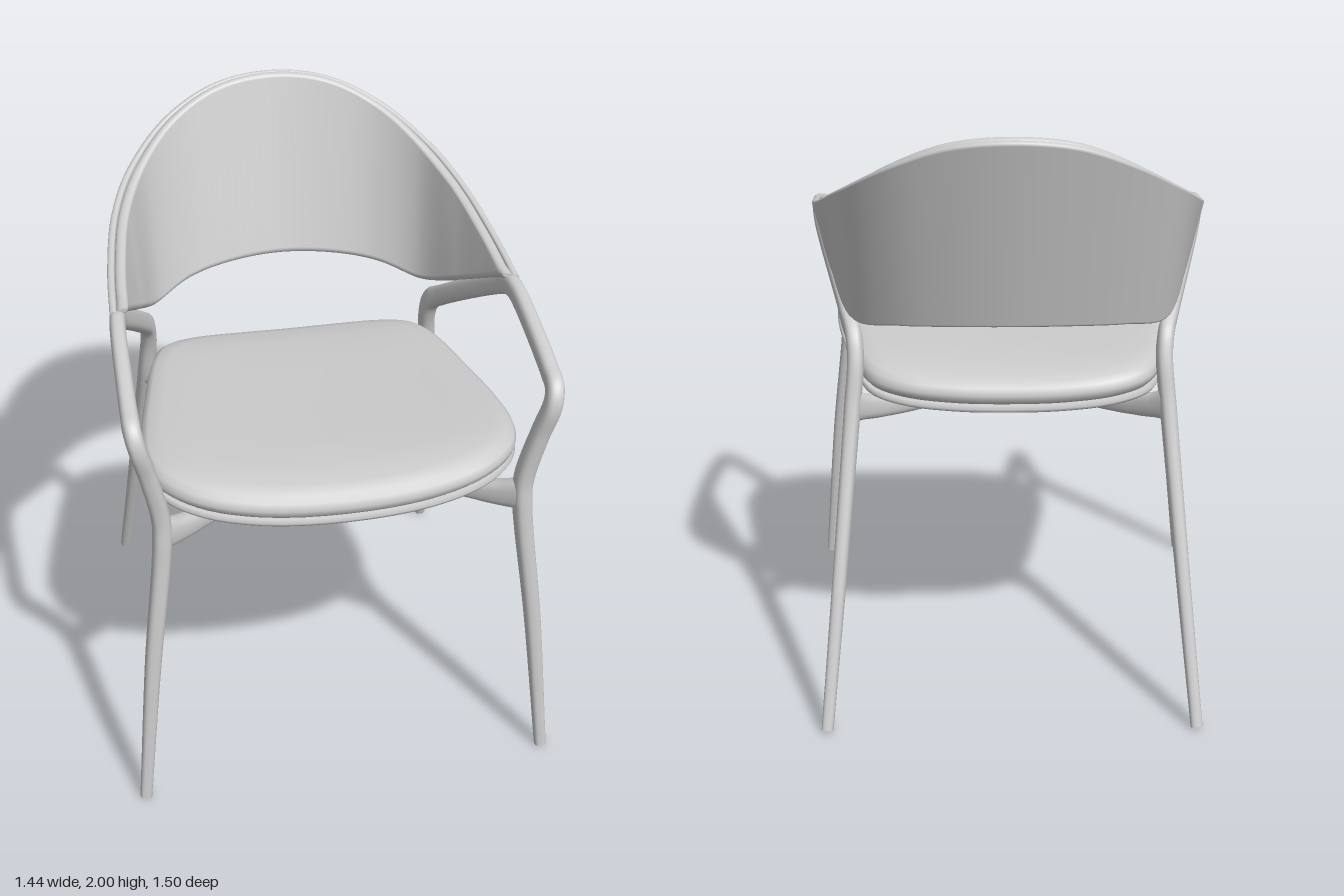
import * as THREE from 'three';

const V = (x, y, z) => new THREE.Vector3(x, y, z);
const material = new THREE.MeshStandardMaterial({ color: 0xcccccc });

// Closed solid through a list of rings (equal point counts), capped at both ends
function loft(rings) {
  const n = rings[0].length, pos = [], idx = [];
  rings.forEach(r => r.forEach(p => pos.push(p.x, p.y, p.z)));
  for (let i = 0; i < rings.length - 1; i++) {
    for (let j = 0; j < n; j++) {
      const k = (j + 1) % n;
      const a = i * n + j, b = i * n + k, c = a + n, d = b + n;
      idx.push(a, b, d, a, d, c);
    }
  }
  [rings[0], rings[rings.length - 1]].forEach((ring, end) => {
    const start = pos.length / 3, mid = V(0, 0, 0);
    ring.forEach(p => { pos.push(p.x, p.y, p.z); mid.addScaledVector(p, 1 / n); });
    pos.push(mid.x, mid.y, mid.z);
    for (let j = 0; j < n; j++) {
      const a = start + j, b = start + (j + 1) % n;
      idx.push(...(end ? [a, b] : [b, a]), start + n);
    }
  });
  // Turn the faces outward if the signed volume is negative
  let volume = 0;
  const at = i => V(pos[3 * i], pos[3 * i + 1] - 1, pos[3 * i + 2]);
  for (let i = 0; i < idx.length; i += 3) {
    volume += at(idx[i]).dot(at(idx[i + 1]).cross(at(idx[i + 2])));
  }
  if (volume < 0) idx.reverse();
  const g = new THREE.BufferGeometry();
  g.setAttribute('position', new THREE.Float32BufferAttribute(pos, 3));
  g.setIndex(idx);
  g.computeVertexNormals();
  return g;
}

// Bar with a soft-cornered section along points [x, y, z, half width along ref, other half width]
function bar(points, ref, mirror) {
  const curve = new THREE.CatmullRomCurve3(points.map(p => V(p[0] * mirror, p[1], p[2])));
  const steps = (points.length - 1) * 8, rings = [];
  for (let i = 0; i <= steps; i++) {
    const t = i / steps, f = t * (points.length - 1);
    const k = Math.min(Math.floor(f), points.length - 2);
    const w = THREE.MathUtils.lerp(points[k][3], points[k + 1][3], f - k);
    const h = THREE.MathUtils.lerp(points[k][4], points[k + 1][4], f - k);
    const p = curve.getPoint(t), tan = curve.getTangent(t);
    const side = ref.clone().addScaledVector(tan, -ref.dot(tan)).normalize();
    const up = tan.clone().cross(side);
    const soft = v => Math.sign(v) * Math.abs(v) ** 0.75;
    rings.push(Array.from({ length: 20 }, (_, j) => {
      const a = j / 20 * Math.PI * 2;
      return p.clone().addScaledVector(side, w * soft(Math.cos(a))).addScaledVector(up, h * soft(Math.sin(a)));
    }));
  }
  return loft(rings);
}

// Seat layers: the seat outline scaled by each [scale, height] on a gently saddled surface
const half = [[0.3, 0.70], [0.48, 0.645], [0.58, 0.56], [0.62, 0.44], [0.613, 0.28], [0.57, 0.02],
  [0.515, -0.24], [0.46, -0.355], [0.36, -0.41], [0.2, -0.435]];
const outline = new THREE.CatmullRomCurve3([
  V(0, 0, 0.72), ...half.map(p => V(p[0], 0, p[1])),
  V(0, 0, -0.44), ...half.map(p => V(-p[0], 0, p[1])).reverse(),
], true).getPoints(96).slice(0, 96);

function seatLayer(profile) {
  return loft(profile.map(([s, h]) => outline.map(p => {
    const x = p.x * s, z = 0.15 + (p.z - 0.15) * s;
    const drop = 0.5 * Math.max(0, z - 0.5) ** 2 + 0.3 * Math.max(0, -0.2 - z) ** 2;
    return V(x, 1.105 + 0.1 * x * x + 0.03 * z - drop + h, z);
  })));
}

// Backrest edges from the centre to the tip on the arm, mirrored across x
const mirrored = pts => new THREE.CatmullRomCurve3([
  ...pts.slice(1).reverse().map(p => V(-p[0], p[1], p[2])), ...pts.map(p => V(...p))]);
const topEdge = mirrored([[0, 2.0, -0.735], [0.2, 1.977, -0.708], [0.38, 1.9, -0.63], [0.52, 1.8, -0.48],
  [0.6, 1.72, -0.3], [0.645, 1.65, -0.05], [0.665, 1.6, 0.19]]);
const lowEdge = mirrored([[0, 1.365, -0.558], [0.2, 1.358, -0.53], [0.36, 1.342, -0.465], [0.5, 1.32, -0.34],
  [0.58, 1.42, -0.12], [0.625, 1.505, 0.04], [0.66, 1.585, 0.19]]);

// Curved panel between the two edges, from offset o0 (outside) to o1 (inside), with round rims
function panel(o0, o1, inset) {
  const rings = [], steps = 96, r = (o1 - o0) / 2;
  for (let i = 0; i <= steps; i++) {
    const t = i / steps, top = topEdge.getPoint(t), low = lowEdge.getPoint(t);
    const rise = top.clone().sub(low), len = rise.length();
    const inward = topEdge.getTangent(t).add(lowEdge.getTangent(t)).cross(rise).normalize();
    const margin = Math.min((r + inset) / len, 0.45), ring = [];
    for (let e = 0; e < 2; e++) {
      for (let j = 0; j <= 8; j++) {
        const a = (e + j / 8) * Math.PI;
        const v = (e ? margin : 1 - margin) + Math.sin(a) * Math.min(r / len, margin);
        ring.push(low.clone().addScaledVector(rise, v)
          .addScaledVector(inward, (o0 + o1) / 2 + r * Math.cos(a)));
      }
    }
    rings.push(ring);
  }
  return loft(rings);
}

export function createModel() {
  const model = new THREE.Group();
  const add = (name, geometry) => {
    const mesh = new THREE.Mesh(geometry, material);
    mesh.name = name;
    model.add(mesh);
    return mesh;
  };

  // Front leg, armrest and rear leg as one continuous bar on each side
  const frame = [
    [0.70, 0.004, 0.73, 0.02, 0.02], [0.647, 0.55, 0.69, 0.027, 0.031], [0.594, 1.0, 0.652, 0.031, 0.039],
    [0.594, 1.1, 0.648, 0.031, 0.038], [0.63, 1.28, 0.668, 0.029, 0.035], [0.66, 1.4, 0.684, 0.029, 0.036],
    [0.669, 1.445, 0.66, 0.029, 0.038], [0.67, 1.468, 0.6, 0.028, 0.036], [0.662, 1.557, 0.25, 0.026, 0.037],
    [0.656, 1.56, 0.185, 0.026, 0.038], [0.645, 1.53, 0.115, 0.026, 0.037], [0.538, 1.3, -0.245, 0.027, 0.037],
    [0.518, 1.25, -0.31, 0.028, 0.04], [0.512, 1.18, -0.343, 0.028, 0.04], [0.525, 1.02, -0.383, 0.028, 0.04],
    [0.57, 0.5, -0.556, 0.024, 0.032], [0.615, 0.007, -0.72, 0.02, 0.02]];
  // Under-seat braces running from the legs to the centre frame
  const frontBrace = [[0.59, 1.04, 0.648, 0.055, 0.035], [0.535, 1.02, 0.6, 0.045, 0.033],
    [0.46, 1.003, 0.535, 0.037, 0.03], [0.19, 0.978, 0.3, 0.04, 0.028]];
  const rearBrace = [[0.525, 1.03, -0.38, 0.055, 0.033], [0.485, 1.015, -0.345, 0.043, 0.03],
    [0.42, 0.997, -0.285, 0.037, 0.028], [0.19, 0.978, -0.08, 0.04, 0.027]];
  for (const [side, m] of [['left', 1], ['right', -1]]) {
    add(side + 'LegsAndArm', bar(frame, V(1, 0, 0), m));
    add(side + 'FrontBrace', bar(frontBrace, V(0, 1, 0), m));
    add(side + 'RearBrace', bar(rearBrace, V(0, 1, 0), m));
  }

  // Rectangular centre frame under the seat
  const rect = (Type, w, h) => new Type([[-w, -h], [w, -h], [w, h], [-w, h]].map(p => new THREE.Vector2(...p)));
  const shape = rect(THREE.Shape, 0.205, 0.215);
  shape.holes.push(rect(THREE.Path, 0.165, 0.175));
  const centre = add('centreFrame', new THREE.ExtrudeGeometry(shape, {
    depth: 0.06, bevelSize: 0.01, bevelThickness: 0.012, bevelSegments: 3 }));
  centre.rotation.x = -Math.PI / 2;
  centre.position.set(0, 0.947, 0.11);

  // Seat cushion on its thin shell
  add('seatCushion', seatLayer([[0.05, -0.03], [0.9, -0.035], [0.97, -0.03], [0.993, -0.014], [1, 0.005],
    [0.987, 0.028], [0.955, 0.044], [0.88, 0.055], [0.7, 0.06], [0.4, 0.058], [0.05, 0.057]]));
  add('seatShell', seatLayer([[0.05, -0.04], [0.9, -0.036], [0.985, -0.031], [0.998, -0.042], [0.988, -0.054],
    [0.9, -0.066], [0.6, -0.08], [0.3, -0.085], [0.05, -0.086]]));

  // Backrest outer shell and inner padding
  add('backrestShell', panel(-0.02, 0.004, 0));
  add('backrestPadding', panel(0.004, 0.042, 0.004));
  return model;
}
